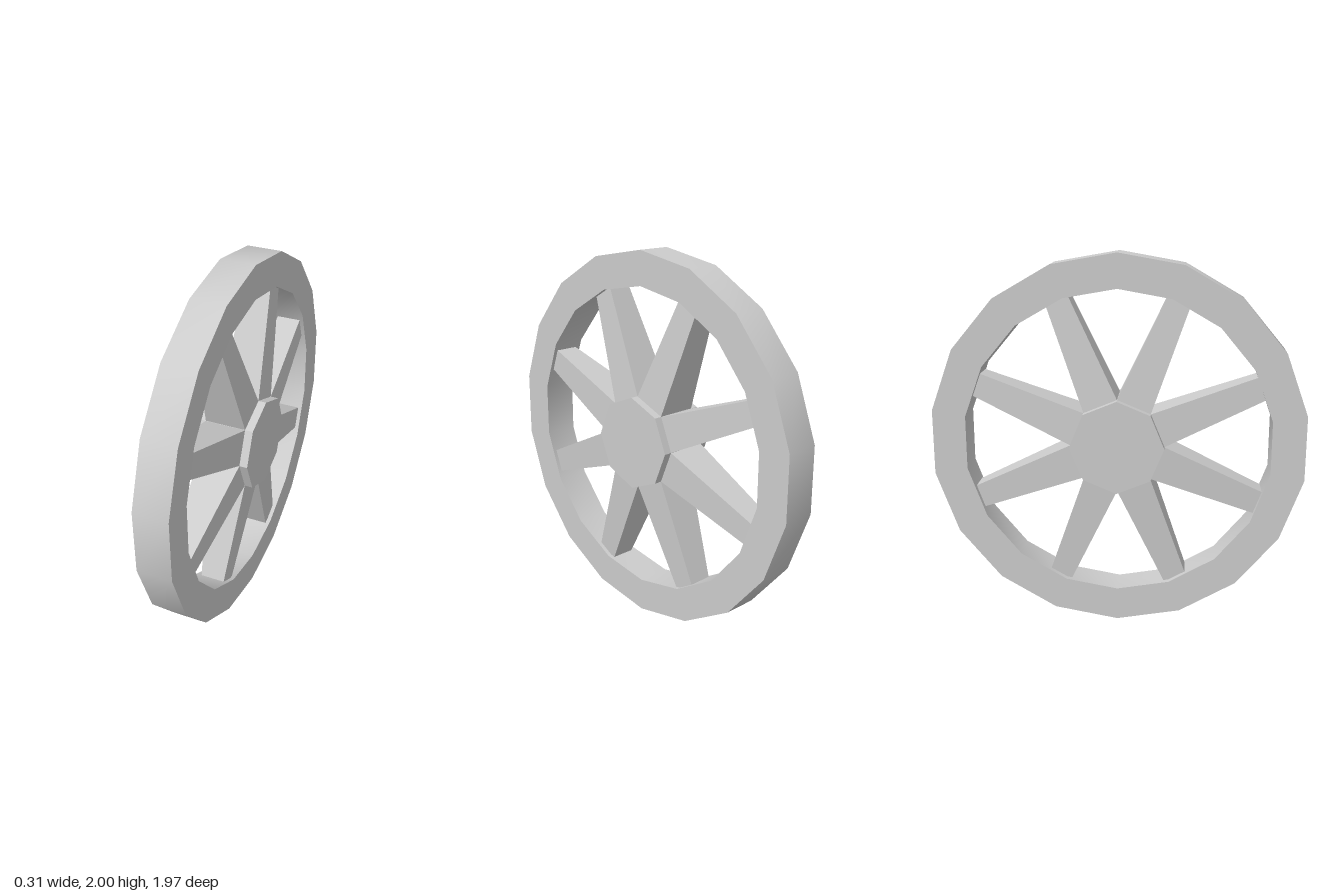
import * as THREE from 'three';
import { toCreasedNormals } from 'three/addons/utils/BufferGeometryUtils.js';

const material = new THREE.MeshStandardMaterial({ color: 0xcccccc });

function addPart(parent, name, geometry) {
  const mesh = new THREE.Mesh(geometry, material);
  mesh.name = name;
  parent.add(mesh);
  return mesh;
}

// Spoke running along +y from the hub to the rim, tapering in width and thickness
function spokeGeometry() {
  const r0 = 0.23, r1 = 0.825;
  const geometry = new THREE.BoxGeometry(1, 1, 1);
  const p = geometry.attributes.position;
  for (let i = 0; i < p.count; i++) {
    const outer = p.getY(i) > 0;
    const thickness = outer ? 0.13 : 0.22;
    const width = outer ? 0.125 : 0.19;
    p.setXYZ(i, p.getX(i) * thickness, outer ? r1 : r0, p.getZ(i) * width);
  }
  return toCreasedNormals(geometry, 0.1);
}

export function createModel() {
  const wheel = new THREE.Group();
  wheel.name = 'wheel';

  // Rim: rectangular section swept round 18 sides, axle along x
  const section = [[1, -0.088], [1, 0.098], [0.82, 0.098], [0.82, -0.088], [1, -0.088]]
    .map(([r, h]) => new THREE.Vector2(r, h));
  const rim = new THREE.LatheGeometry(section, 18, Math.PI / 2);
  rim.rotateZ(Math.PI / 2);
  addPart(wheel, 'rim', toCreasedNormals(rim, 0.5));

  // Octagonal hub, a corner pointing straight up
  const hub = new THREE.CylinderGeometry(0.25, 0.25, 0.306, 8);
  hub.rotateZ(Math.PI / 2);
  addPart(wheel, 'hub', toCreasedNormals(hub, 0.5));

  // One spoke on each side of the hub
  const spoke = spokeGeometry();
  for (let i = 0; i < 8; i++) {
    addPart(wheel, 'spoke', spoke).rotation.x = (i + 0.5) * Math.PI / 4;
  }

  // Stand the wheel on the ground
  wheel.position.y = 1;
  const model = new THREE.Group();
  model.add(wheel);
  return model;
}
